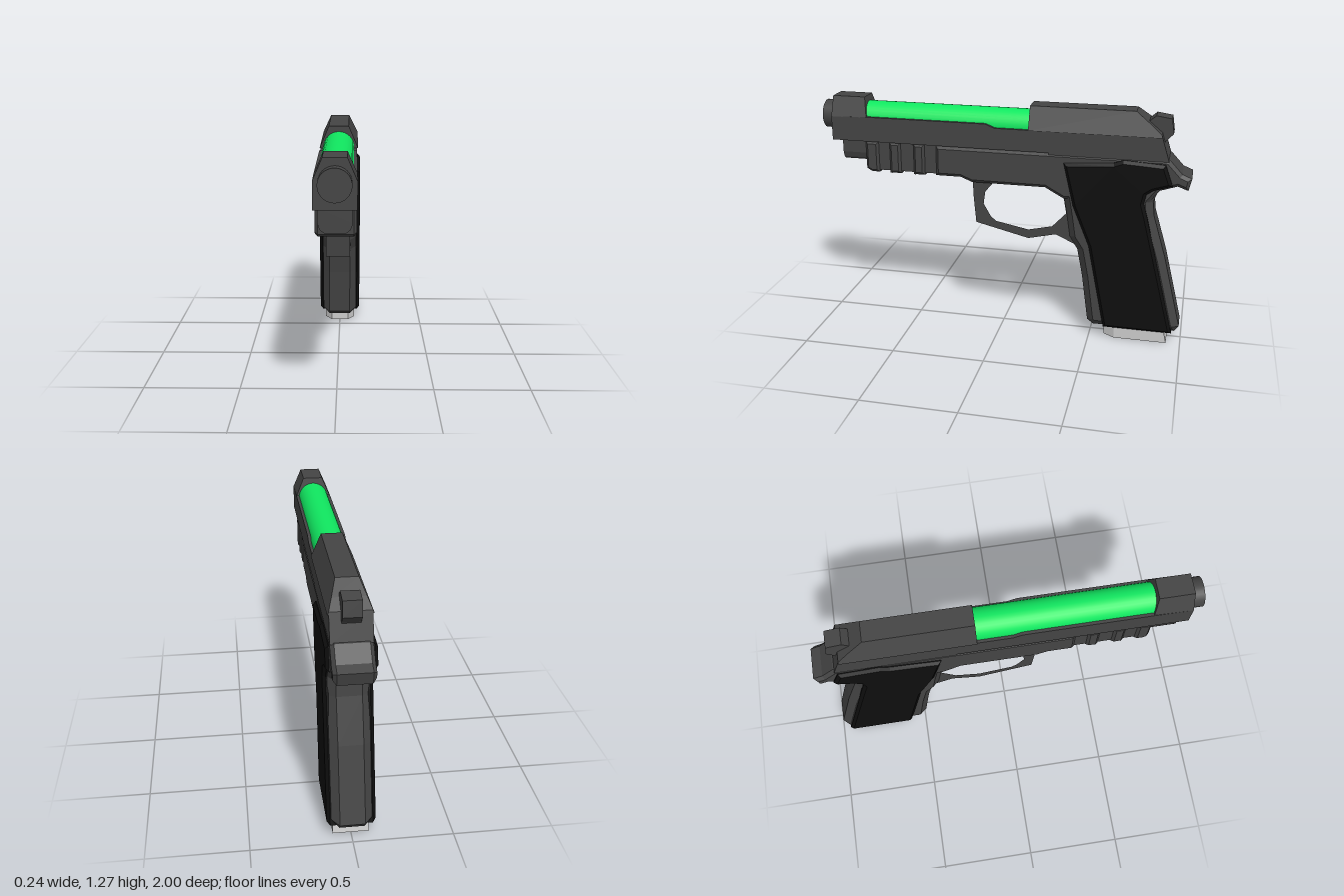
import * as THREE from 'three';

const mat = (color, extra = {}) => new THREE.MeshStandardMaterial({ color, ...extra });

export function createModel() {
  const group = new THREE.Group();
  const body = mat(0x444444, { flatShading: true });
  const black = mat(0x0e0e0e, { flatShading: true });
  const steel = mat(0xcccccc, { flatShading: true });
  const green = mat(0x10e860);
  const round = mat(0x444444);

  const add = (name, geometry, material = body) => {
    const mesh = new THREE.Mesh(geometry, material);
    mesh.name = name;
    group.add(mesh);
    return mesh;
  };
  const toShape = pts => new THREE.Shape(pts.map(p => new THREE.Vector2(...p)));

  // Side outline given as (z, y), spread evenly across x with chamfered rims
  const slab = (pts, width, bevel = 0, hole = null) => {
    const shape = toShape(pts);
    if (hole) shape.holes.push(toShape(hole));
    const depth = width - 2 * bevel;
    const g = new THREE.ExtrudeGeometry(shape, {
      depth, bevelEnabled: bevel > 0, bevelThickness: bevel, bevelSize: bevel,
      bevelOffset: -bevel, bevelSegments: 1,
    });
    return g.translate(0, 0, -depth / 2).rotateY(-Math.PI / 2);
  };

  // Roof of the slide: the slab narrows towards its flat top
  const roof = pts => {
    const g = slab(pts, 2);
    const p = g.attributes.position;
    for (let i = 0; i < p.count; i++) {
      p.setX(i, p.getX(i) * (0.055 + (1.275 - p.getY(i)) * 0.43));
    }
    g.computeVertexNormals();
    return g;
  };

  // Slide
  add('slideLower', slab([
    [0.94, 1.04], [0.94, 1.17], [0.74, 1.175], [0.08, 1.175], [0.03, 1.155],
    [-0.15, 1.155], [-0.15, 1.17], [-0.835, 1.17], [-0.88, 1.03], [-0.26, 1.03], [-0.26, 1.04],
  ], 0.2));
  add('slideFrontRoof', roof([[0.94, 1.17], [0.94, 1.275], [0.76, 1.275], [0.74, 1.17]]));
  add('slideRearRoof', roof([
    [-0.15, 1.155], [-0.15, 1.275], [-0.7, 1.275], [-0.78, 1.215], [-0.835, 1.17], [-0.835, 1.155],
  ]));

  // Barrel and muzzle
  const barrel = new THREE.CylinderGeometry(0.085, 0.085, 0.95, 32).rotateX(Math.PI / 2);
  add('barrel', barrel, green).position.set(0, 1.16, 0.295);
  const muzzle = new THREE.CylinderGeometry(0.077, 0.077, 0.1, 32).rotateX(Math.PI / 2);
  add('muzzle', muzzle, round).position.set(0, 1.162, 0.95);

  // Hammer
  add('hammer', slab([
    [-0.765, 1.225], [-0.8, 1.255], [-0.88, 1.243], [-0.892, 1.165],
    [-0.855, 1.125], [-0.84, 1.1], [-0.78, 1.12],
  ], 0.09));

  // Frame with rear spur
  add('frame', slab([
    [0.36, 1.04], [0.36, 0.87], [0.22, 0.87], [0.16, 0.845], [-0.24, 0.845], [-0.34, 0.79],
    [-0.78, 0.79], [-0.84, 0.87], [-0.93, 0.9], [-0.985, 0.88], [-1.0, 0.945],
    [-0.95, 0.965], [-0.885, 1.035], [-0.87, 1.04],
  ], 0.2, 0.018));

  // Accessory rail: recessed core with three wider ribs
  add('railCore', slab([[0.74, 1.04], [0.74, 0.88], [0.3, 0.88], [0.3, 1.04]], 0.17));
  for (const [front, back, nose] of [[0.755, 0.68, 0.03], [0.62, 0.555, 0], [0.485, 0.42, 0]]) {
    add('railRib', slab([
      [front, 1.04], [front, 0.87 + nose / 2], [front - nose, 0.868], [back, 0.868], [back, 1.04],
    ], 0.196, 0.014));
  }
  const nub = new THREE.ExtrudeGeometry(toShape([
    [-0.08, 1.04], [-0.08, 0.97], [-0.07, 0.94], [-0.05, 0.925],
    [0.05, 0.925], [0.07, 0.94], [0.08, 0.97], [0.08, 1.04],
  ]), { depth: 0.2, bevelEnabled: false });
  add('railNose', nub).position.z = 0.69;

  // Trigger guard
  add('triggerGuard', slab([
    [0.16, 0.86], [0.155, 0.75], [0.142, 0.61], [-0.15, 0.54], [-0.3, 0.575],
    [-0.4, 0.53], [-0.5, 0.6], [-0.5, 0.86],
  ], 0.13, 0, [
    [0.045, 0.845], [0.09, 0.79], [0.1, 0.72], [0.06, 0.65], [0.03, 0.625], [-0.15, 0.59],
    [-0.28, 0.62], [-0.355, 0.7], [-0.34, 0.785], [-0.24, 0.845],
  ]));

  // Grip core with chamfered straps
  add('grip', slab([
    [-0.28, 0.98], [-0.26, 0.85], [-0.34, 0.785], [-0.355, 0.7], [-0.375, 0.57], [-0.42, 0.5],
    [-0.45, 0.35], [-0.487, 0.085], [-0.52, 0.06], [-0.965, 0.065], [-0.988, 0.095],
    [-0.89, 0.49], [-0.82, 0.72], [-0.81, 0.8], [-0.84, 0.88], [-0.85, 0.98],
  ], 0.2, 0.038));

  // Grip panels, standing proud on both sides
  add('gripPanels', slab([
    [-0.34, 0.992], [-0.395, 0.76], [-0.485, 0.54], [-0.58, 0.07], [-0.95, 0.07],
    [-0.785, 0.73], [-0.765, 0.8], [-0.775, 0.85], [-0.81, 0.875], [-0.905, 0.905],
    [-0.865, 1.015], [-0.65, 1.028], [-0.6, 1.01],
  ], 0.242, 0.016), black);

  // Magazine base: chamfered plan, rear leaning back towards the bottom
  const base = new THREE.ExtrudeGeometry(toShape([
    [-0.05, 0.58], [0.05, 0.58], [0.09, 0.64], [0.09, 0.905],
    [-0.09, 0.905], [-0.09, 0.64],
  ]), { depth: 0.09, bevelEnabled: false }).rotateX(-Math.PI / 2);
  const p = base.attributes.position;
  for (let i = 0; i < p.count; i++) {
    if (p.getZ(i) < -0.9 && p.getY(i) < 0.01) p.setZ(i, -0.925);
  }
  base.computeVertexNormals();
  add('magazineBase', base, steel);

  return group;
}
